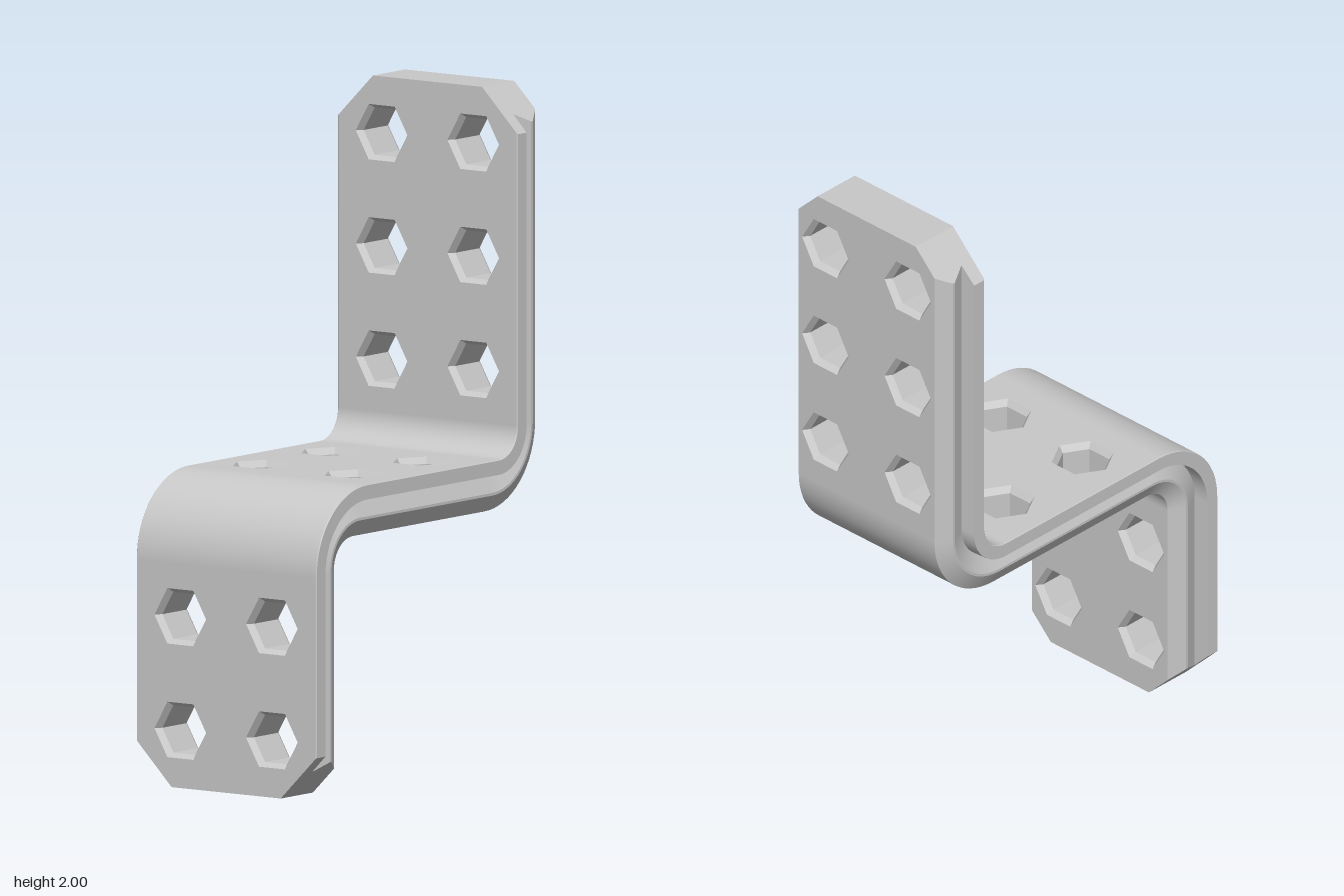
import * as THREE from 'three';

const T = 0.158;          // plate thickness
const CUT = 0.2;          // half-width of the straight end, beyond it the corner is cut at 45 degrees
const HOLE_X = 0.168, HOLE_R = 0.095, HOLE_INNER = 0.081, BEVEL = 0.02;

// Half cross-section (x, depth behind the front face): flange, groove, side ridge
const half = [[0.327, 0], [0.33, 0.003], [0.33, 0.045], [0.28, 0.047],
  [0.305, 0.101], [0.305, 0.109], [0.277, T]];
const section = [...half, ...half.map(([x, d]) => [-x, d]).reverse()];
const X = new THREE.Vector3(1, 0, 0);

// One station of the bent path: point on the front face, tangent, depth direction
const station = (z, y, tz, ty, nz, ny) => ({
  o: new THREE.Vector3(0, y, z), t: new THREE.Vector3(0, ty, tz), n: new THREE.Vector3(0, ny, nz),
});

function makePath() {
  const N = 16, front = [], back = [];
  for (let i = 0; i <= N; i++) {
    const a = (i / N) * Math.PI / 2, c = Math.cos(a), s = Math.sin(a);
    front.push(station(0.323 + 0.25 * c, 0.665 + 0.25 * s, -s, c, -c, -s));
    back.push(station(-0.325 - 0.09 * s, 1.005 - 0.09 * c, -c, s, -s, -c));
  }
  return [station(0.573, 0, 0, 1, -1, 0), ...front, ...back, station(-0.415, 2, 0, 1, -1, 0)];
}

// Point of the section at a station; end = 1 / -1 pulls the corners in at the start / finish
function at(st, x, d, end = 0) {
  return st.o.clone().addScaledVector(X, x).addScaledVector(st.n, d)
    .addScaledVector(st.t, end * Math.max(0, Math.abs(x) - CUT));
}

function flatGeometry(triangles) {
  const g = new THREE.BufferGeometry().setFromPoints(triangles);
  g.computeVertexNormals();
  return g;
}

// Sweep one section edge, smooth along the path and sharp across it
function ribbon(path, a, b, first, last) {
  const pos = [], nor = [], idx = [];
  for (let i = first; i <= last; i++) {
    const st = path[i];
    const end = i === 0 ? 1 : i === path.length - 1 ? -1 : 0;
    const e = X.clone().multiplyScalar(b[0] - a[0]).addScaledVector(st.n, b[1] - a[1]);
    const n = e.cross(st.t).normalize();
    for (const [x, d] of [a, b]) {
      pos.push(...at(st, x, d, end).toArray());
      nor.push(...n.toArray());
    }
    const k = (i - first) * 2;
    if (i < last) idx.push(k, k + 1, k + 3, k, k + 3, k + 2);
  }
  const g = new THREE.BufferGeometry();
  g.setAttribute('position', new THREE.Float32BufferAttribute(pos, 3));
  g.setAttribute('normal', new THREE.Float32BufferAttribute(nor, 3));
  g.setIndex(idx);
  return g;
}

const hexagon = (cx, cy, r) => Array.from({ length: 6 }, (_, k) =>
  new THREE.Vector2(cx + r * Math.cos(k * Math.PI / 3), cy + r * Math.sin(k * Math.PI / 3)));

// Flat face of one straight run, with hexagonal holes; side = 1 front, -1 back
function faceGeometry(st, length, w, rows, cutStart, cutEnd, side) {
  const c = w - CUT;
  const low = cutStart ? [[-CUT, 0], [CUT, 0], [w, c]] : [[-w, 0], [w, 0]];
  const high = cutEnd ? [[w, length - c], [CUT, length], [-CUT, length], [-w, length - c]]
    : [[w, length], [-w, length]];
  const pts = [...low, ...high];
  if (cutStart) pts.push([-w, c]);
  const shape = new THREE.Shape(pts.map(([x, y]) => new THREE.Vector2(x, y)));
  for (const v of rows) for (const x of [-HOLE_X, HOLE_X]) {
    shape.holes.push(new THREE.Path(hexagon(x, v, HOLE_R).reverse()));
  }
  const m = new THREE.Matrix4().makeBasis(
    X.clone().multiplyScalar(side), st.t, st.n.clone().multiplyScalar(-side));
  m.setPosition(at(st, 0, side > 0 ? 0 : T));
  return new THREE.ShapeGeometry(shape).applyMatrix4(m);
}

// Walls of all holes in a run, facing the hole axis, bevelled at both mouths
function holeGeometry(st, rows) {
  const rings = [[HOLE_R, 0], [HOLE_INNER, BEVEL], [HOLE_INNER, T - BEVEL], [HOLE_R, T]];
  const tri = [];
  for (const v of rows) for (const x of [-HOLE_X, HOLE_X]) {
    const loops = rings.map(([r, d]) => hexagon(x, v, r).map(p =>
      at(st, p.x, d).addScaledVector(st.t, p.y)));
    for (let j = 0; j < 3; j++) for (let k = 0; k < 6; k++) {
      const q = (k + 1) % 6;
      const a = loops[j][k], b = loops[j][q], c = loops[j + 1][q], d = loops[j + 1][k];
      tri.push(a, b, c, a, c, d);
    }
  }
  return flatGeometry(tri);
}

// End cap: straight middle plus two slanted corners
function capGeometry(st, end) {
  const tri = [];
  const fill = (poly, flip) => {
    const faces = THREE.ShapeUtils.triangulateShape(poly.map(p => new THREE.Vector2(...p)), []);
    for (const f of faces) {
      const p = f.map(i => at(st, poly[i][0], poly[i][1], end));
      tri.push(...(flip ? p.reverse() : p));
    }
  };
  const isStart = end > 0;
  const corner = [[CUT, 0], ...half, [CUT, T]];
  fill([[-CUT, 0], [CUT, 0], [CUT, T], [-CUT, T]], isStart);
  fill(corner, isStart);
  fill(corner.map(([x, d]) => [-x, d]).reverse(), isStart);
  return flatGeometry(tri);
}

export function createModel() {
  const group = new THREE.Group();
  const grey = new THREE.MeshStandardMaterial({ color: 0xc8c8c8 });
  grey.name = 'plain grey';
  const add = (name, geometry) => {
    const mesh = new THREE.Mesh(geometry, grey);
    mesh.name = name;
    group.add(mesh);
  };

  const path = makePath(), last = path.length - 1, mid = path.length / 2;
  const n = half.length;
  const wFront = half[0][0], wBack = half[n - 1][0];

  // Grooved side rails along the whole bracket
  for (let i = 0; i < section.length - 1; i++) {
    if (i === n - 1) continue;
    add(i < n ? 'leftRail' : 'rightRail', ribbon(path, section[i], section[i + 1], 0, last));
  }

  // Curved faces of the two bends
  for (const [name, a, b] of [['frontBend', 1, mid - 1], ['backBend', mid, last - 1]]) {
    add(name + 'Upper', ribbon(path, section[2 * n - 1], section[0], a, b));
    add(name + 'Lower', ribbon(path, section[n - 1], section[n], a, b));
  }

  // Straight runs with their holes, rows measured from the start of each run
  const runs = [
    ['lowerLeg', 0, 1, [0.17, 0.507]],
    ['shelf', mid - 1, mid, [0.155, 0.491]],
    ['upperLeg', last - 1, last, [0.155, 0.491, 0.827]],
  ];
  for (const [name, a, b, rows] of runs) {
    const st = path[a], length = st.o.distanceTo(path[b].o);
    add(name + 'Front', faceGeometry(st, length, wFront, rows, a === 0, b === last, 1));
    add(name + 'Back', faceGeometry(st, length, wBack, rows, a === 0, b === last, -1));
    add(name + 'Holes', holeGeometry(st, rows));
  }

  // End caps
  add('bottomEnd', capGeometry(path[0], 1));
  add('topEnd', capGeometry(path[last], -1));
  return group;
}
